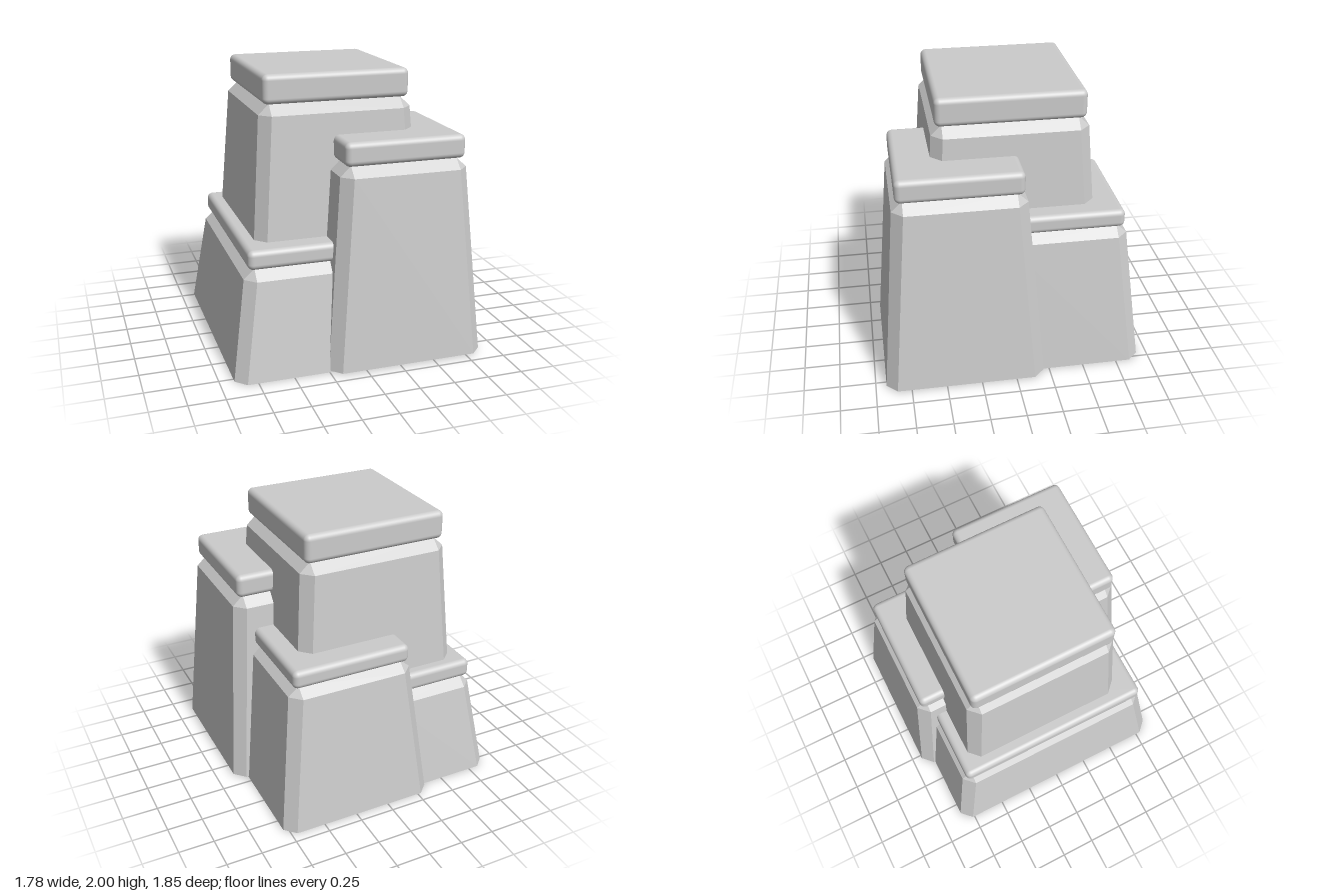
import * as THREE from 'three';
import { ConvexGeometry } from 'three/addons/geometries/ConvexGeometry.js';
import { RoundedBoxGeometry } from 'three/addons/geometries/RoundedBoxGeometry.js';

const BEVEL = 0.075;
const material = new THREE.MeshStandardMaterial({ color: 0xcccccc });

// Corners of a rectangle at height y, each cut by a chamfer c (0 leaves it sharp)
function ring(hx, hz, y, c) {
  const points = [];
  for (const sx of [-1, 1]) {
    for (const sz of [-1, 1]) {
      points.push(new THREE.Vector3(sx * (hx - c), y, sz * hz));
      if (c > 0) points.push(new THREE.Vector3(sx * hx, y, sz * (hz - c)));
    }
  }
  return points;
}

// Tapered pillar with chamfered corners, a bevelled shoulder and a rounded cap slab
function makePillar({ name, x, z, hx, hz, base, shoulder, capBottom, capTop, flare }) {
  const pillar = new THREE.Group();
  pillar.name = name;
  pillar.position.set(x, 0, z);

  const body = new THREE.Mesh(new ConvexGeometry([
    ...ring(hx + flare, hz + flare, base, BEVEL),
    ...ring(hx, hz, shoulder, BEVEL),
    ...ring(hx - BEVEL, hz - BEVEL, capBottom, 0),
  ]), material);
  body.name = name + 'Body';

  const height = capTop - capBottom;
  const cap = new THREE.Mesh(
    new RoundedBoxGeometry(2 * hx - 0.05, height, 2 * hz - 0.05, 4, 0.04), material);
  cap.name = name + 'Cap';
  cap.position.y = capBottom + height / 2;

  pillar.add(body, cap);
  return pillar;
}

export function createModel() {
  const model = new THREE.Group();
  model.name = 'steppedPillars';

  // hx and hz are half sizes at the shoulder; flare is added at the foot
  const pillars = [
    { name: 'tallPillar', x: -0.075, z: -0.025, hx: 0.54, hz: 0.54, base: 0.01,
      shoulder: 1.73, capBottom: 1.8, capTop: 2, flare: 0.125 },
    { name: 'frontPillar', x: 0.312, z: 0.36, hx: 0.455, hz: 0.455, base: 0.01,
      shoulder: 1.345, capBottom: 1.415, capTop: 1.58, flare: 0.11 },
    { name: 'backPillar', x: 0.217, z: -0.36, hx: 0.455, hz: 0.455, base: 0,
      shoulder: 0.99, capBottom: 1.055, capTop: 1.185, flare: 0.112 },
    { name: 'lowSidePillar', x: -0.425, z: 0.01, hx: 0.37, hz: 0.745, base: 0,
      shoulder: 0.68, capBottom: 0.75, capTop: 0.885, flare: 0.105 },
  ];
  for (const p of pillars) model.add(makePillar(p));
  return model;
}
